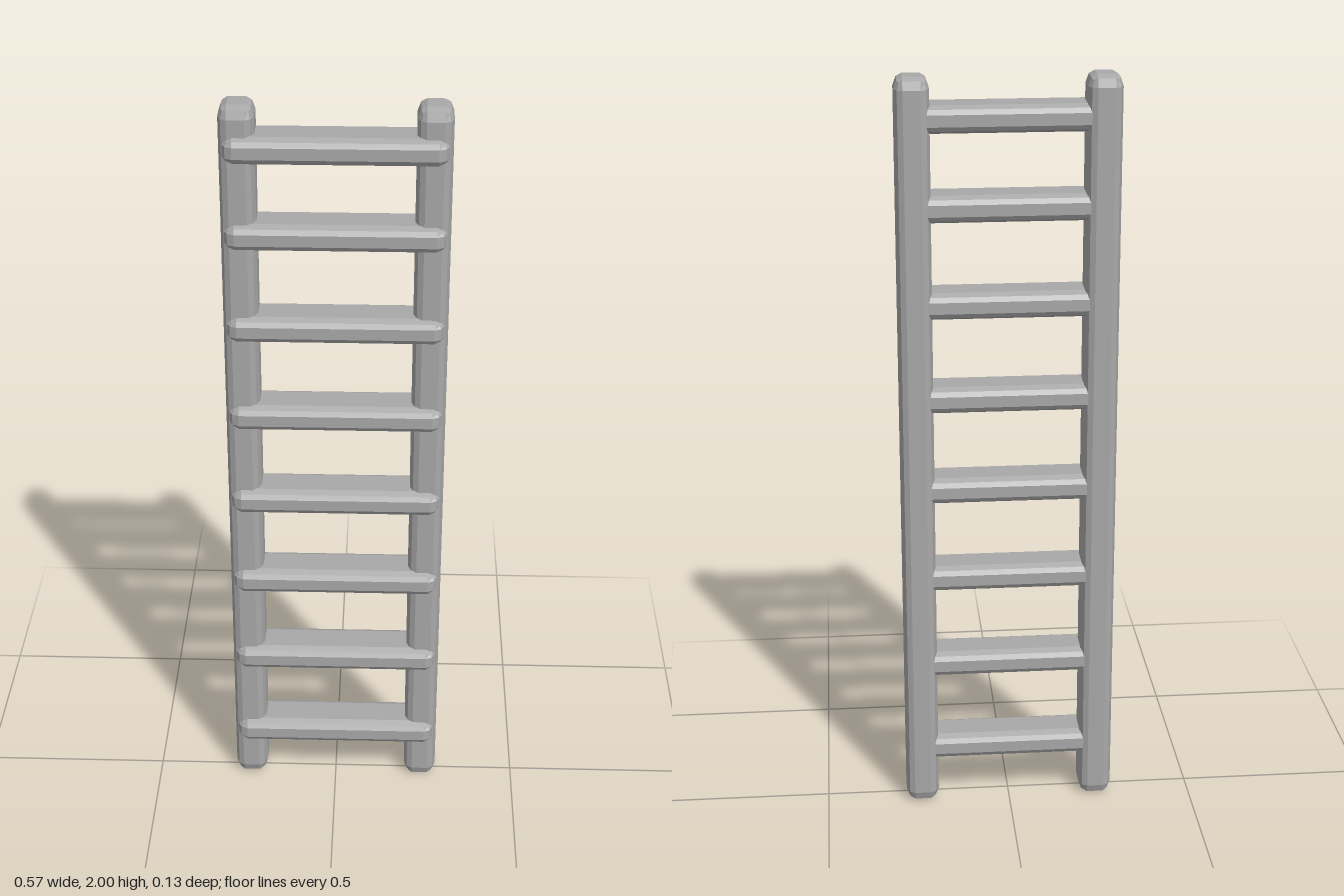
import * as THREE from 'three';

const grey = new THREE.MeshStandardMaterial({ color: 0xa8a8a8, flatShading: true });
grey.name = 'plain grey';

// Box with softly worn edges: three segments per side, outer rings pulled inwards
function softBox(w, h, d, margin) {
  const geo = new THREE.BoxGeometry(w, h, d, 3, 3, 3);
  const half = [w / 2, h / 2, d / 2];
  const inset = [0, 0, 0.008, 0.013]; // by face, edge, corner
  const pos = geo.attributes.position;
  for (let i = 0; i < pos.count; i++) {
    const p = [pos.getX(i), pos.getY(i), pos.getZ(i)];
    const outer = p.map((v, k) => Math.abs(v) > half[k] * 0.9);
    const count = outer.filter(Boolean).length;
    const q = p.map((v, k) => Math.sign(v) * (half[k] - (outer[k] ? inset[count] : margin[k])));
    pos.setXYZ(i, q[0], q[1], q[2]);
  }
  geo.computeVertexNormals();
  return geo;
}

export function createModel() {
  const ladder = new THREE.Group();
  ladder.name = 'ladder';

  // Upright rails
  const railGeo = softBox(0.088, 2, 0.113, [0.022, 0.03, 0.028]);
  for (const side of [-1, 1]) {
    const rail = new THREE.Mesh(railGeo, grey);
    rail.name = side > 0 ? 'leftRail' : 'rightRail';
    rail.position.set(side * 0.239, 1, -0.0115);
    ladder.add(rail);
  }

  // Rungs, standing slightly proud of the rails at the front
  const rungGeo = softBox(0.546, 0.07, 0.126, [0.025, 0.02, 0.025]);
  [0.16, 0.411, 0.663, 0.914, 1.165, 1.417, 1.668, 1.893].forEach((y, i) => {
    const rung = new THREE.Mesh(rungGeo, grey);
    rung.name = `rung${i + 1}`;
    rung.position.set(0, y, 0.002);
    ladder.add(rung);
  });

  return ladder;
}
